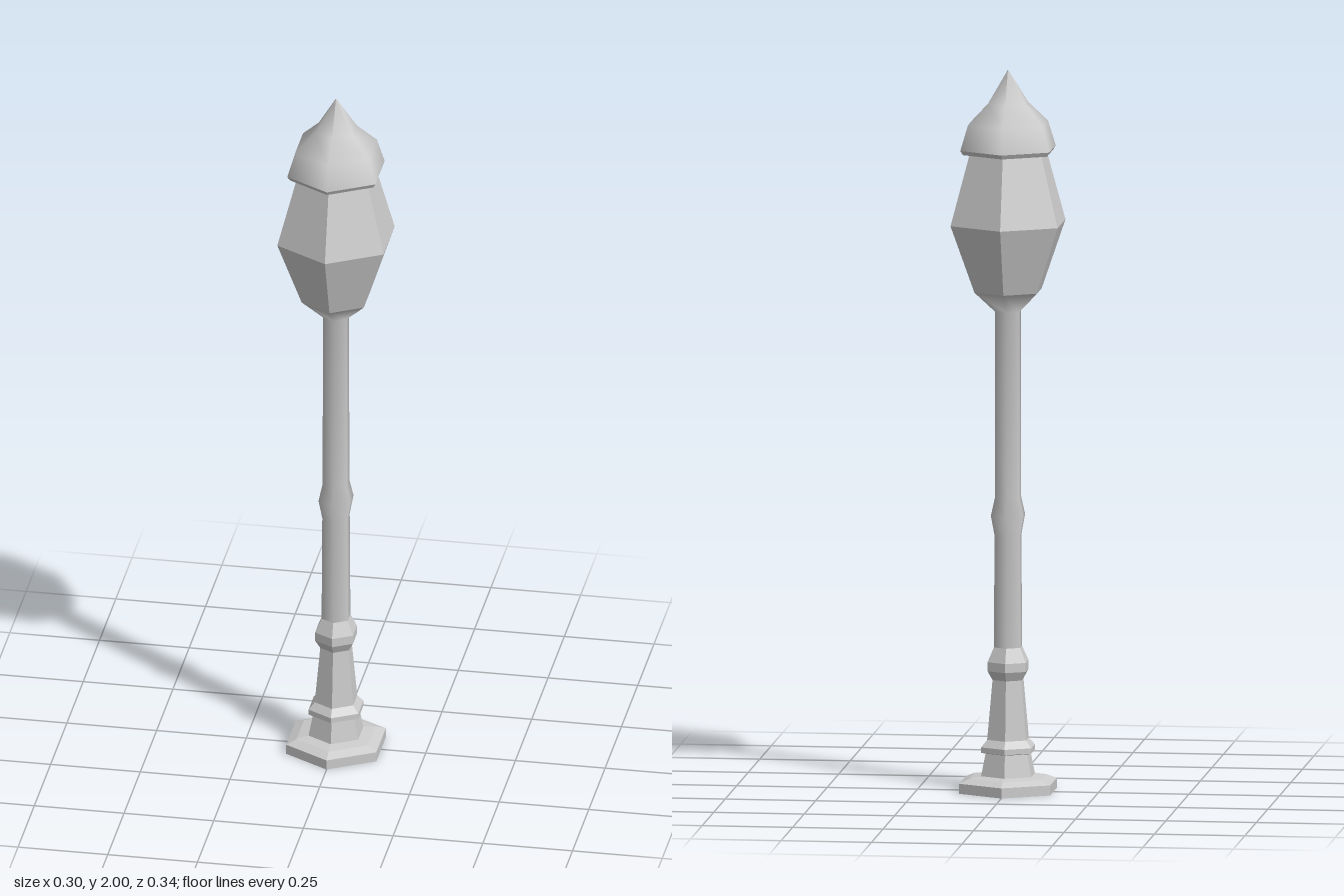
import * as THREE from 'three';

const faceted = new THREE.MeshStandardMaterial({ color: 0xcccccc, flatShading: true, side: THREE.DoubleSide });
const smooth = new THREE.MeshStandardMaterial({ color: 0xcccccc, side: THREE.DoubleSide });

// Six-sided turned part; the profile is [corner radius, height] from bottom to top
function turned(name, profile, material) {
  const points = profile.map(([r, y]) => new THREE.Vector2(r, y));
  const mesh = new THREE.Mesh(new THREE.LatheGeometry(points, 6), material);
  mesh.name = name;
  return mesh;
}

export function createModel() {
  const group = new THREE.Group();
  group.name = 'streetLamp';
  group.add(
    // Hollow foot plate, open underneath
    turned('footPlate', [[0.145, 0], [0.145, 0.028], [0.115, 0.04], [0.08, 0.045]], faceted),
    // Tapered pedestal with a ring
    turned('pedestal', [
      [0.08, 0.045], [0.067, 0.107], [0.08, 0.11], [0.08, 0.125], [0.062, 0.145], [0.046, 0.31],
    ], faceted),
    // Collar between the pedestal and the pole
    turned('collar', [[0.046, 0.31], [0.061, 0.335], [0.061, 0.36], [0.042, 0.4]], faceted),
    // Pole with a bulge at mid height and a flared top
    turned('pole', [
      [0.042, 0.4], [0.04, 0.71], [0.051, 0.765], [0.039, 0.815], [0.038, 1.33], [0.1, 1.387],
    ], smooth),
    // Lantern glass
    turned('lantern', [[0.1, 1.387], [0.171, 1.575], [0.113, 1.775]], faceted),
    // Underside of the roof
    turned('roofLip', [[0.113, 1.775], [0.134, 1.77], [0.142, 1.782]], faceted),
    // Domed roof drawn out to a point
    turned('roof', [[0.142, 1.782], [0.119, 1.852], [0.061, 1.906], [0, 2]], smooth),
  );
  return group;
}
